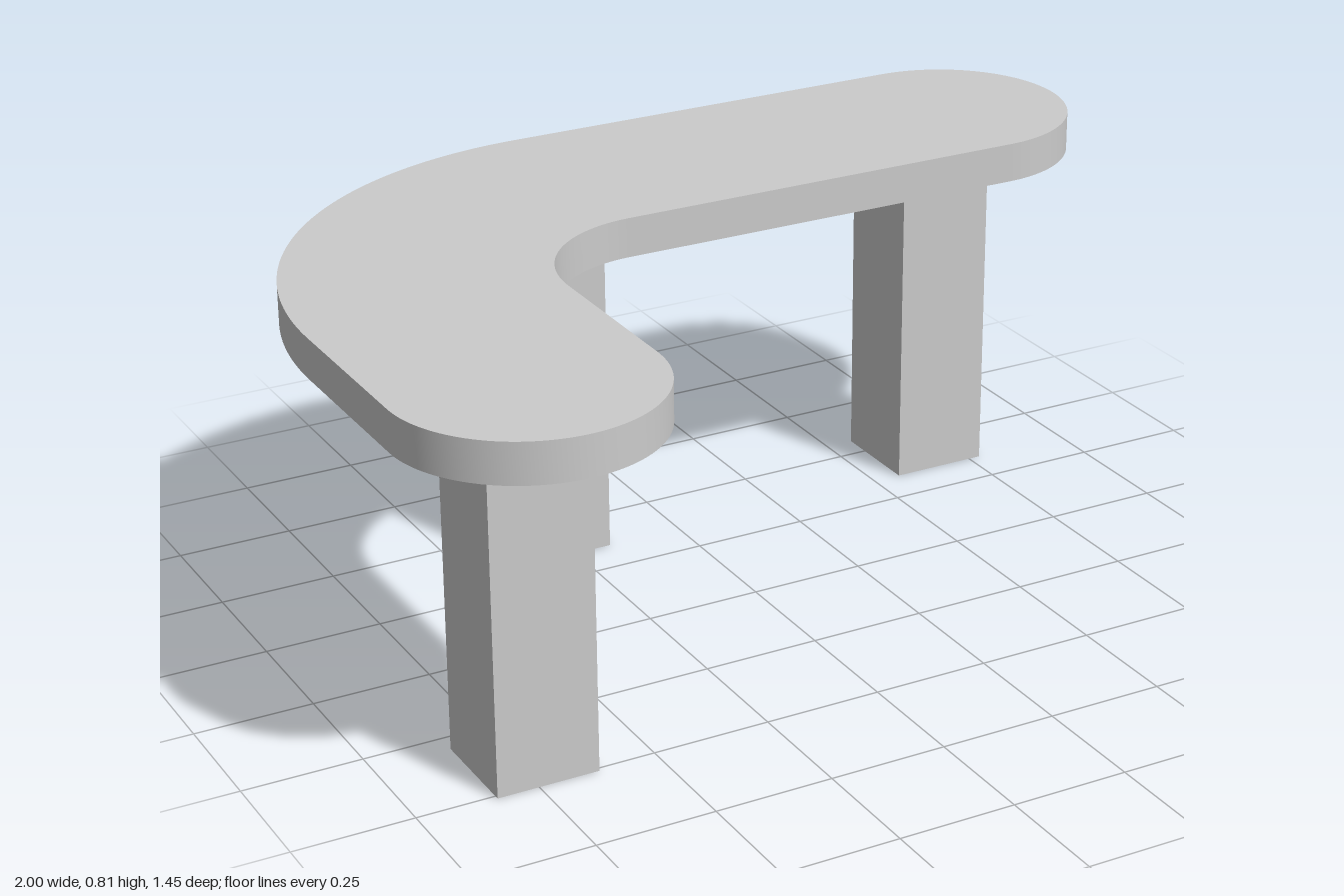
import * as THREE from 'three';
import { toCreasedNormals } from 'three/addons/utils/BufferGeometryUtils.js';

const TOP_Y = 0.73, TOP_THICK = 0.085;
const HALF_WIDTH = 0.27, LEG_WIDTH = 0.214;

export function createModel() {
  const group = new THREE.Group();
  const material = new THREE.MeshStandardMaterial({ color: 0xcccccc });

  // Curved bench top: two straight arms with round ends, joined by a quarter bend
  const outline = new THREE.Shape();
  outline.absarc(-0.73, -0.455, HALF_WIDTH, Math.PI, 2 * Math.PI, false); // front end
  outline.absarc(-0.19, -0.085, HALF_WIDTH, Math.PI, Math.PI / 2, true); // inner bend
  outline.absarc(0.73, 0.455, HALF_WIDTH, -Math.PI / 2, Math.PI / 2, false); // side end
  outline.absarc(-0.19, -0.085, 3 * HALF_WIDTH, Math.PI / 2, Math.PI, false); // outer bend
  outline.closePath();
  const slab = new THREE.ExtrudeGeometry(outline, { depth: TOP_THICK, bevelEnabled: false, curveSegments: 32 });
  slab.rotateX(-Math.PI / 2);
  const top = new THREE.Mesh(toCreasedNormals(slab, Math.PI / 6), material);
  top.name = 'benchTop';
  top.position.y = TOP_Y;
  group.add(top);

  // Three square legs
  const legGeometry = new THREE.BoxGeometry(LEG_WIDTH, TOP_Y, LEG_WIDTH);
  const legs = { frontLeg: [-0.73, 0.403], cornerLeg: [-0.275, -0.455], sideLeg: [0.67, -0.455] };
  for (const [name, [x, z]] of Object.entries(legs)) {
    const leg = new THREE.Mesh(legGeometry, material);
    leg.name = name;
    leg.position.set(x, TOP_Y / 2, z);
    group.add(leg);
  }
  return group;
}
